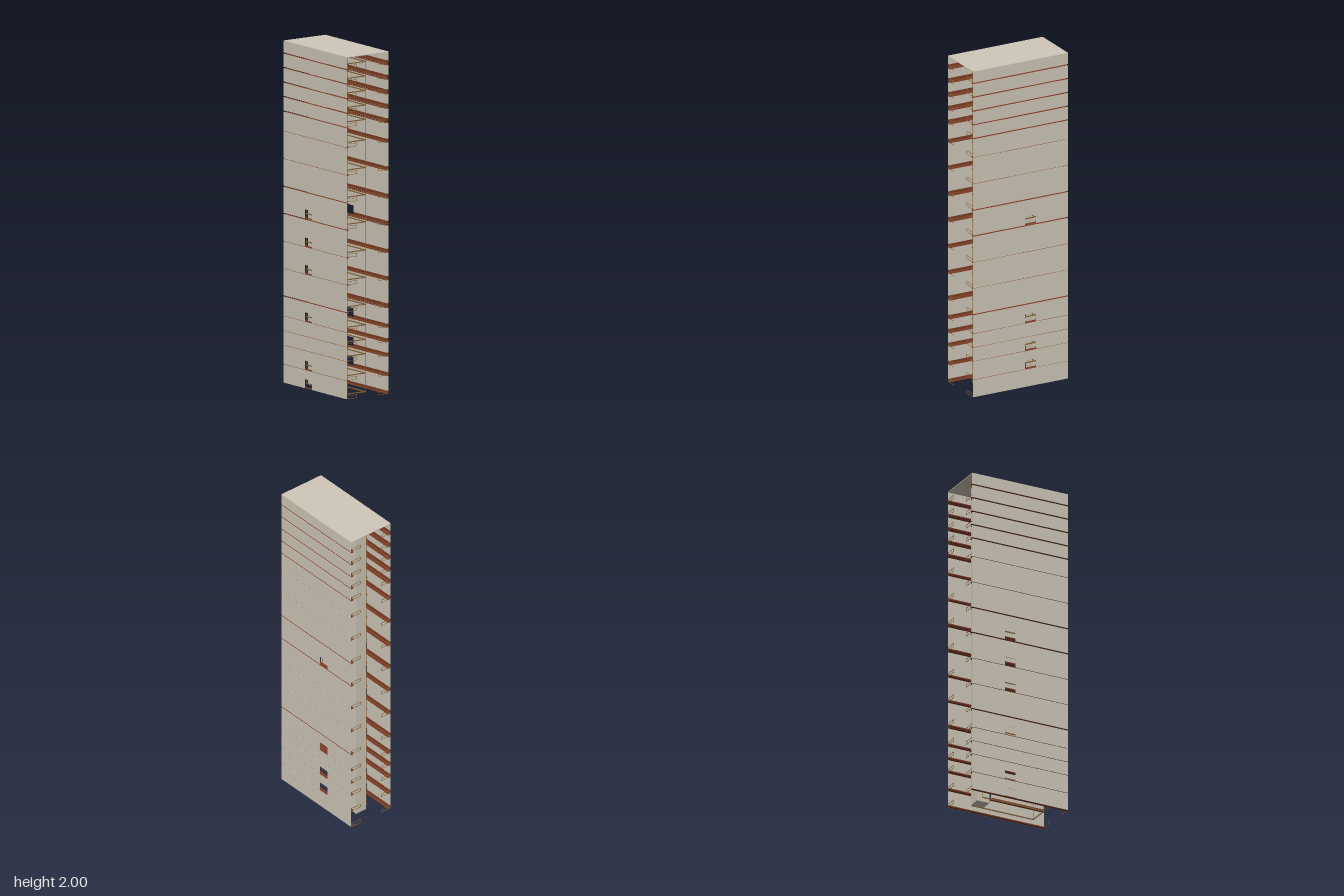
import * as THREE from 'three';

export function createModel() {
  const root = new THREE.Group();
  root.name = 'towerShell';
  const concrete = new THREE.MeshStandardMaterial({ color: 0xd0c8b9, side: THREE.DoubleSide });
  concrete.name = 'concrete';
  const brown = new THREE.MeshStandardMaterial({ color: 0x7c3d24 });
  brown.name = 'brown trim';
  const wood = new THREE.MeshStandardMaterial({ color: 0x8a6638 });
  wood.name = 'wood rail';

  // box given by its minimum and maximum corners
  function box(parent, name, mat, x0, x1, y0, y1, z0, z1) {
    const mesh = new THREE.Mesh(new THREE.BoxGeometry(Math.abs(x1 - x0), y1 - y0, z1 - z0), mat);
    mesh.position.set((x0 + x1) / 2, (y0 + y1) / 2, (z0 + z1) / 2);
    mesh.name = name;
    parent.add(mesh);
  }

  const W = 0.148, D = 0.31, T = 0.002;
  const winZ0 = -0.1, winZ1 = -0.03, winH = 0.053;
  // storey levels, and which gaps between wall panels are wide
  const floors = [0.01, 0.118, 0.23, 0.314, 0.399, 0.518, 0.675, 0.834, 0.998, 1.156,
    1.314, 1.475, 1.594, 1.678, 1.762, 1.847, 1.931];
  const wideGaps = new Set([5, 8, 9, 12, 13, 14, 15, 16]);
  const windows = { '1': [1, 2, 4, 8], '-1': [0, 1, 4, 6, 7, 8] };

  floors.forEach((y, i) => {
    const storey = new THREE.Group();
    storey.name = 'storey' + (i + 1);
    root.add(storey);
    const last = i + 1 === floors.length;
    const next = last ? 2 : floors[i + 1];
    const gap = last ? 0 : wideGaps.has(i + 1) ? 0.008 : 0.003;
    const top = next - gap;

    for (const s of [1, -1]) {
      const xo = s * W, xi = s * (W - T), xs = s * (W - T - 0.002), xl = s * (W - 0.02);
      // side wall and skirting, split around a window
      const open = windows[s].includes(i);
      const spans = open ? [[-D, winZ0], [winZ1, D]] : [[-D, D]];
      for (const [a, b] of spans) {
        box(storey, 'sideWall', concrete, xo, xi, y, top, a, b);
        box(storey, 'skirting', brown, xi, xs, y, y + 0.015, a, b);
      }
      if (open) box(storey, 'wallAboveWindow', concrete, xo, xi, y + winH, top, winZ0, winZ1);

      // narrow ledges along the foot and head of each wall panel
      box(storey, 'footLedge', brown, xi, xl, y, y + 0.0015, -D, D);
      if (!last) box(storey, 'headLedge', brown, xi, xl, top - 0.0015, top, -D, D);

      // short open rail frames at the front and back ends
      for (const e of [1, -1]) {
        const z0 = e * 0.311 - 0.001, z1 = z0 + 0.002;
        box(storey, 'endRailBase', wood, s * 0.075, xi, y, y + 0.002, z0, z1);
        box(storey, 'endRailTop', wood, s * 0.075, xi, y + 0.018, y + 0.02, z0, z1);
        box(storey, 'endRailPost', wood, s * 0.075, s * 0.077, y + 0.002, y + 0.018, z0, z1);
      }
      // long edge of the central opening
      box(storey, 'openingEdge', wood, s * 0.062, s * 0.066, y, y + 0.006, -0.2, 0.2);
    }
    // short edges of the central opening
    box(storey, 'openingFrontEdge', wood, -0.062, 0.062, y, y + 0.006, 0.197, 0.2);
    box(storey, 'openingBackEdge', wood, -0.062, 0.062, y, y + 0.006, -0.14, -0.137);
  });

  // slender posts around the central opening
  for (const s of [1, -1]) {
    for (const z of [0.198, -0.198]) {
      box(root, 'post', wood, s * 0.062, s * 0.065, 0.01, 1.996, z - 0.0015, z + 0.0015);
    }
  }

  // lift shaft and roof
  box(root, 'liftShaft', concrete, -0.038, 0.034, 0, 1.996, -0.22, -0.14);
  box(root, 'roof', concrete, -W, W, 1.996, 2, -D, D);
  return root;
}
